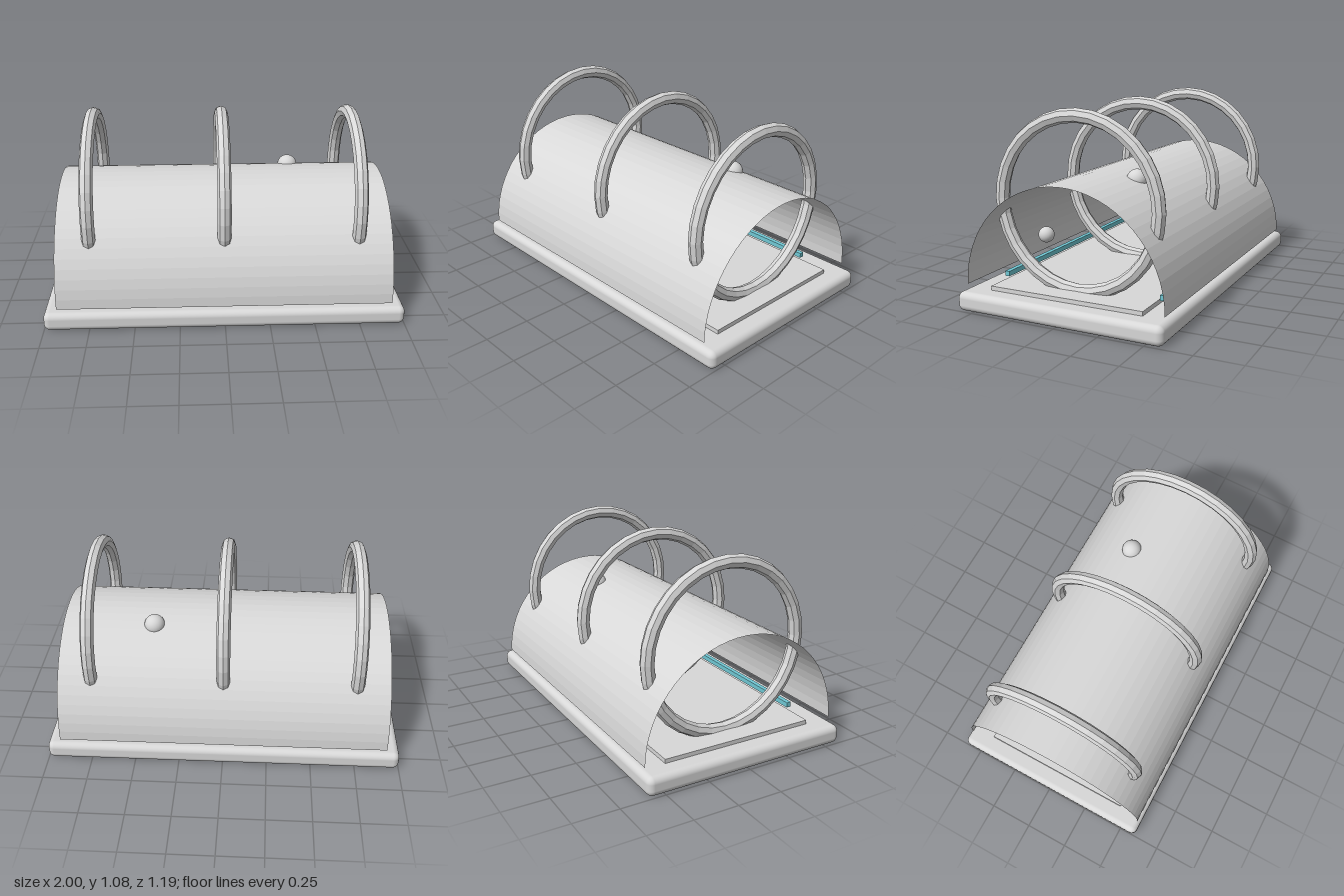
import * as THREE from 'three';
import { RoundedBoxGeometry } from 'three/addons/geometries/RoundedBoxGeometry.js';

export function createModel() {
  const model = new THREE.Group();
  model.name = 'archedCanopy';

  const grey = new THREE.MeshStandardMaterial({ color: 0xd8d8d8 });
  grey.name = 'light grey';
  const facetedGrey = grey.clone();
  facetedGrey.name = 'light grey faceted';
  facetedGrey.flatShading = true;
  const shellGrey = facetedGrey.clone();
  shellGrey.name = 'light grey shell';
  shellGrey.side = THREE.DoubleSide;
  const teal = new THREE.MeshStandardMaterial({ color: 0x70c8d4 });
  teal.name = 'teal';

  const add = (name, geometry, material, x, y, z) => {
    const mesh = new THREE.Mesh(geometry, material);
    mesh.name = name;
    mesh.position.set(x, y, z);
    model.add(mesh);
    return mesh;
  };

  // Rounded base slab and the thin floor pad on it
  add('base', new RoundedBoxGeometry(2, 0.105, 1.19, 4, 0.035), grey, 0, 0.0525, 0);
  add('floorPad', new THREE.BoxGeometry(1.79, 0.023, 0.89), grey, 0, 0.1165, 0);

  // Thin half-cylinder canopy, open at both ends and underneath
  const shell = new THREE.CylinderGeometry(0.575, 0.575, 1.85, 32, 1, true, 0, Math.PI);
  shell.rotateZ(Math.PI / 2);
  add('canopyShell', shell, shellGrey, 0, 0.13, 0);

  // Hoops that pass through the canopy
  for (const x of [-0.74, 0, 0.74]) {
    const hoop = new THREE.TorusGeometry(0.46, 0.038, 8, 32);
    hoop.rotateY(Math.PI / 2);
    add('hoop', hoop, facetedGrey, x, 0.58, 0);
  }

  // Light strips along both sides of the floor
  for (const side of [-1, 1]) {
    add('lightStrip', new THREE.BoxGeometry(1.43, 0.028, 0.027), teal, 0, 0.142, side * 0.468);
  }

  // Balls: one breaking through the canopy, two inside
  const balls = [
    [0.405, 0.67, -0.177, 0.058],
    [-0.35, 0.52, 0.21, 0.073],
    [0.69, 0.387, 0.223, 0.043],
  ];
  for (const [x, y, z, r] of balls) {
    add('ball', new THREE.SphereGeometry(r, 24, 16), grey, x, y, z);
  }

  return model;
}
